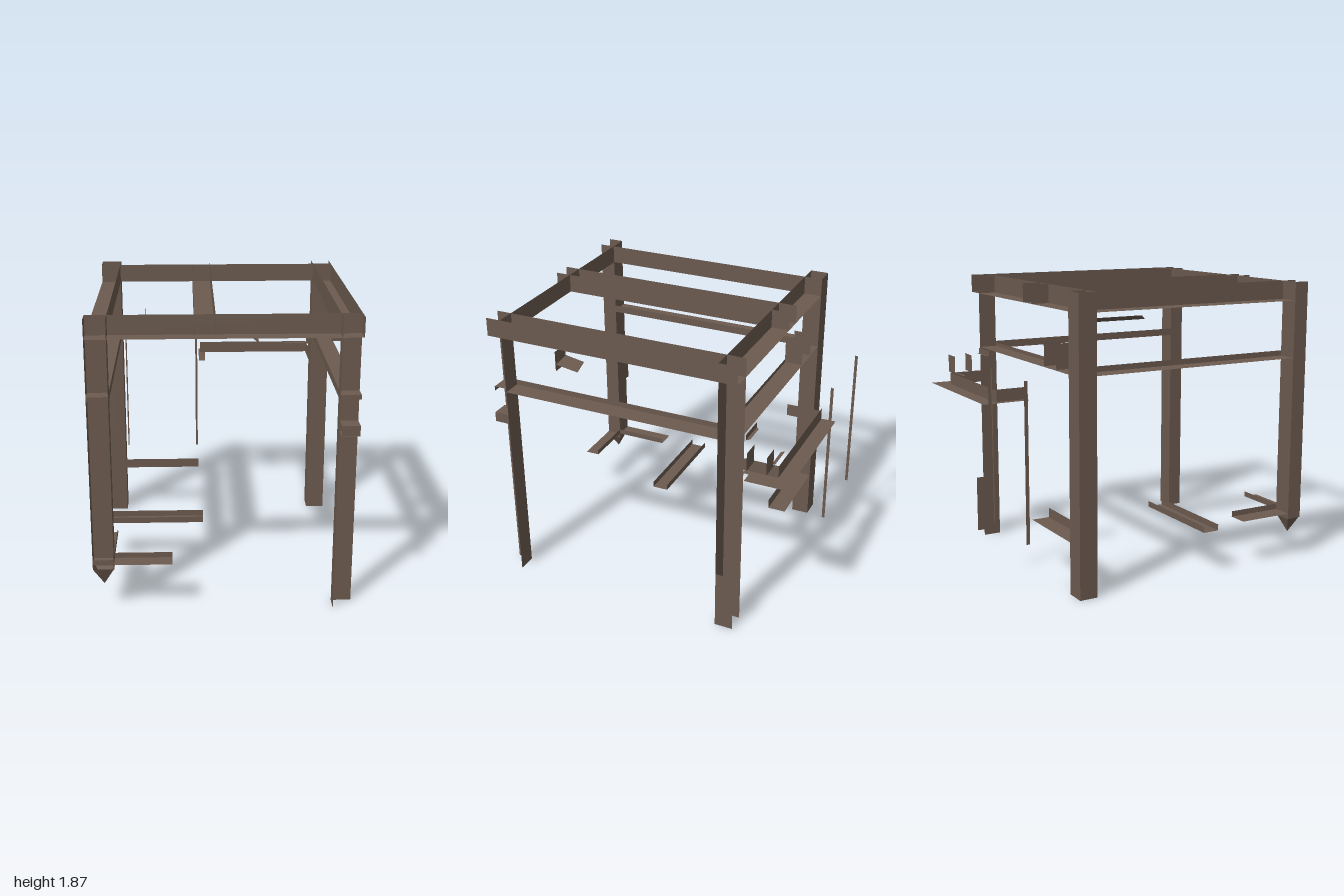
import * as THREE from 'three';

const timber = new THREE.MeshStandardMaterial({ color: 0x6b5a4e, side: THREE.DoubleSide });
timber.name = 'brown timber';

export function createModel() {
  const root = new THREE.Group();
  root.name = 'timberFrame';

  const group = (name) => {
    const g = new THREE.Group();
    g.name = name;
    root.add(g);
    return g;
  };

  // Flat board between two corners; one of the three extents is zero
  const board = (parent, name, [x0, x1], [y0, y1], [z0, z1]) => {
    const w = x1 - x0, h = y1 - y0, d = z1 - z0;
    let geo;
    if (w === 0) geo = new THREE.PlaneGeometry(d, h).rotateY(Math.PI / 2);
    else if (h === 0) geo = new THREE.PlaneGeometry(w, d).rotateX(-Math.PI / 2);
    else geo = new THREE.PlaneGeometry(w, h);
    geo.translate((x0 + x1) / 2, (y0 + y1) / 2, (z0 + z1) / 2);
    const mesh = new THREE.Mesh(geo, timber);
    mesh.name = name;
    parent.add(mesh);
  };

  // Four-cornered board that may be slanted
  const slanted = (parent, name, a, b, c, d) => {
    const geo = new THREE.BufferGeometry();
    geo.setAttribute('position', new THREE.Float32BufferAttribute([...a, ...b, ...c, ...d], 3));
    geo.setIndex([0, 1, 2, 0, 2, 3]);
    geo.computeVertexNormals();
    const mesh = new THREE.Mesh(geo, timber);
    mesh.name = name;
    parent.add(mesh);
  };

  const XR = [-0.81, -0.68], XL = [0.68, 0.805];     // side strips
  const ZF = [0.9, 1], ZB = [-0.68, -0.56];          // front and back strips
  const flat = (v) => [v, v];
  const TOP = 1.87, BEAM = [1.75, TOP];

  // Posts
  const fr = group('frontRightPost');
  board(fr, 'outerSide', flat(-0.81), [0.28, TOP], ZF);
  board(fr, 'innerSide', flat(-0.68), [0.28, TOP], ZF);
  board(fr, 'rearSide', XR, [0.28, TOP], flat(0.9));
  const tip = new THREE.ConeGeometry(Math.SQRT1_2, 1, 4, 1, true).rotateY(Math.PI / 4).toNonIndexed();
  tip.computeVertexNormals();
  tip.rotateX(Math.PI).scale(0.13, 0.12, 0.1).translate(-0.745, 0.23, 0.95);
  const tipMesh = new THREE.Mesh(tip, timber);
  tipMesh.name = 'pointedEnd';
  fr.add(tipMesh);

  const fl = group('frontLeftPost');
  board(fl, 'innerSide', flat(0.68), [0, TOP], ZF);
  board(fl, 'rearSide', XL, [0, TOP], flat(0.9));

  const br = group('backRightPost');
  for (const x of XR) board(br, 'side', flat(x), [0, TOP], ZB);
  for (const z of ZB) board(br, 'face', XR, [0, TOP], flat(z));
  board(br, 'foot', XR, flat(0), ZB);

  const bl = group('backLeftPost');
  board(bl, 'innerSide', flat(0.68), [0, TOP], ZB);
  board(bl, 'frontSide', XL, [0, TOP], flat(-0.56));
  board(bl, 'lowOuterSide', flat(0.805), [0, 0.4], ZB);

  // Top beams, open upward
  const beams = group('topBeams');
  for (const [z, wall] of [[ZF, 0.9], [ZB, -0.56]]) {
    board(beams, 'crossBeamWall', [-0.81, 0.805], BEAM, flat(wall));
    board(beams, 'crossBeamBase', [-0.81, 0.805], flat(1.75), z);
  }
  for (const x of [[-0.81, -0.68], [-0.175, -0.05], [0.68, 0.805]]) {
    board(beams, 'longBeamBase', x, flat(1.75), [-0.56, 0.9]);
    for (const side of x) if (side !== -0.81) board(beams, 'longBeamWall', flat(side), BEAM, [-0.68, 1]);
  }

  // Middle rails along both sides and the back
  const rails = group('middleRails');
  for (const [x, inner] of [[XR, -0.68], [XL, 0.68]]) {
    board(rails, 'sideRailBase', x, flat(1.375), [-0.56, 0.9]);
    board(rails, 'sideRailWall', flat(inner), [1.36, 1.41], [-0.56, 0.9]);
    board(rails, 'sideRailEnd', x, [1.37, 1.4], flat(0.985));
    board(rails, 'sideRailEndTop', x, flat(1.4), [0.9, 0.985]);
  }
  board(rails, 'backRailBase', [-0.68, 0.68], flat(1.375), ZB);
  board(rails, 'backRailWall', [-0.68, 0.68], [1.375, 1.4], flat(-0.56));
  for (const x of [-0.515, -0.345]) board(rails, 'railUpright', flat(x), [1.38, 1.54], ZB);
  board(rails, 'railBlock', [0.5, 0.68], [1.335, 1.37], flat(-0.69));
  slanted(rails, 'railBlockLip', [0.5, 1.335, -0.69], [0.68, 1.335, -0.69], [0.66, 1.335, -0.71], [0.52, 1.335, -0.71]);

  // Stub on the front left post
  const stub = group('postStub');
  board(stub, 'stubFace', [0.695, 0.805], [1.145, 1.21], flat(0.99));
  board(stub, 'stubSide', flat(0.805), [1.145, 1.21], ZF);
  for (const y of [1.145, 1.21]) board(stub, 'stubFlat', [0.695, 0.805], flat(y), ZF);

  // Low arms and floor bars
  const low = group('lowBars');
  board(low, 'frontArmBase', [-0.81, -0.32], flat(0.318), ZF);
  board(low, 'frontArmWall', [-0.81, -0.32], [0.318, 0.353], flat(0.9));
  board(low, 'frontArmFace', [-0.81, -0.68], [0.318, 0.353], flat(1));
  board(low, 'sideArmBase', XR, flat(0.318), [0.53, 0.9]);
  board(low, 'sideArmWall', flat(-0.68), [0.318, 0.355], [0.53, 0.9]);
  board(low, 'middleBarBase', [-0.81, -0.12], flat(0.29), [0.22, 0.33]);
  for (const z of [0.22, 0.33]) board(low, 'middleBarWall', [-0.81, -0.12], [0.29, 0.33], flat(z));
  board(low, 'backBarBase', [-0.68, -0.14], flat(0.335), ZB);
  board(low, 'backBarWall', [-0.68, -0.14], [0.335, 0.4], flat(-0.56));

  // Bracket standing out at the back
  const ledge = group('backLedge');
  const LY = [1.13, 1.21];
  board(ledge, 'ledgeBase', [-0.12, 0.8], flat(1.13), [-1, -0.905]);
  board(ledge, 'ledgeWall', [-0.12, 0.68], LY, flat(-0.905));
  board(ledge, 'leftArmBase', [0.68, 0.8], flat(1.13), [-0.905, -0.73]);
  board(ledge, 'leftArmWall', flat(0.68), LY, [-0.905, -0.68]);
  board(ledge, 'leftArmEnd', [0.68, 0.72], flat(1.13), [-0.73, -0.69]);
  board(ledge, 'rightArmBase', [-0.13, -0.085], flat(1.13), [-1, -0.68]);
  board(ledge, 'rightArmWall', flat(-0.085), LY, [-0.905, -0.68]);
  for (const z of [-0.745, -0.87]) board(ledge, 'ledgeUpright', [0.68, 0.8], [1.2, 1.32], flat(z));
  slanted(ledge, 'ledgeStrip', [0.5, 1.21, -0.878], [0.52, 1.21, -0.857], [0.66, 1.21, -0.857], [0.68, 1.21, -0.878]);

  // Thin upright battens behind the frame
  const battens = group('thinBattens');
  for (const [x0, x1] of [[-0.155, -0.14], [-0.683, -0.675]]) {
    board(battens, 'battenFace', [x0, x1], [0.365, 1.36], flat(-0.95));
    board(battens, 'battenSide', flat(x1), [0.365, 1.36], [-0.97, -0.95]);
  }

  // Hangers below the left beam
  const hangers = group('beamHangers');
  for (const z of [0.085, 0.52]) board(hangers, 'hanger', XL, [1.6, 1.73], flat(z));
  board(hangers, 'hangerBar', flat(0.69), [1.71, 1.73], [0.085, 0.53]);
  slanted(hangers, 'hangerBrace', [0.68, 1.66, 0.53], [0.8, 1.645, 0.53], [0.8, 1.62, 0.37], [0.68, 1.635, 0.39]);

  // Loose slanted brace under the roof
  slanted(group('looseBrace'), 'braceBoard',
    [0.18, 1.59, -0.05], [0.18, 1.59, 0.34], [0.24, 1.555, 0.4], [0.24, 1.555, -0.11]);

  return root;
}
